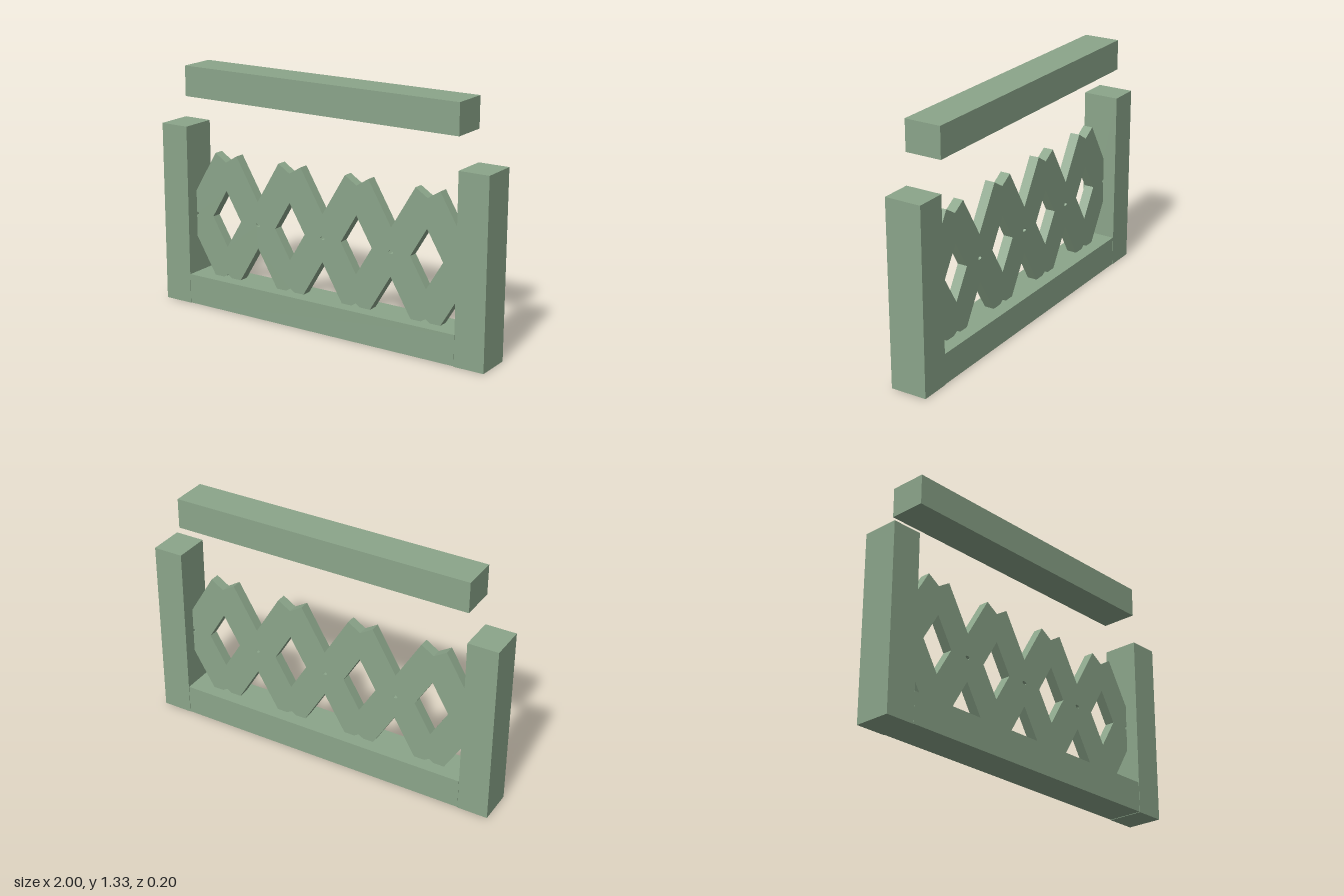
import * as THREE from 'three';

export function createModel() {
  const group = new THREE.Group();
  group.name = 'latticeRailing';
  const sage = new THREE.MeshStandardMaterial({ color: 0x8ba58a, flatShading: true });
  sage.name = 'sage green paint';

  const END = 0.8333; // half the clear span between the posts
  const MID = 0.5; // height of the lattice centre line
  const BAYS = 4;
  const PITCH = (2 * END) / BAYS;

  function addBox(name, w, h, d, x, y) {
    const mesh = new THREE.Mesh(new THREE.BoxGeometry(w, h, d), sage);
    mesh.name = name;
    mesh.position.set(x, y, 0);
    group.add(mesh);
  }

  // Posts and rails
  for (const [name, side] of [['leftPost', 1], ['rightPost', -1]]) {
    addBox(name, 1 - END, 1, 0.2, side * (1 + END) / 2, 0.5);
  }
  addBox('bottomRail', 1.664, 0.165, 0.198, 0, 0.0845);
  addBox('topRail', 1.664, 0.165, 0.2, 0, 1.25);

  // Lattice outline: twin-pointed crests along the top, mirrored below
  const crest = [[0, 0.13], [0.138, 0.36], [PITCH / 2, 0.316], [PITCH - 0.138, 0.36]];
  const top = [];
  for (let i = 0; i < BAYS; i++) {
    for (const [x, y] of crest) top.push([-END + i * PITCH + x, y]);
  }
  top.push([END, 0.13]);

  // Small half notches where the lattice meets each post
  const notch = (s) => [[s * END, 0.008], [s * (END - 0.008), 0.008],
    [s * (END - 0.015), 0], [s * (END - 0.008), -0.008], [s * END, -0.008]];
  const bottom = top.map(([x, y]) => [x, -y]).reverse();
  const outline = [...top, ...notch(1), ...bottom, ...notch(-1).reverse()];
  const toPoints = (list) => list.map(([x, y]) => new THREE.Vector2(x, y + MID));
  const shape = new THREE.Shape(toPoints(outline));

  // Diamond openings in the bays, tiny openings at the bar joints
  for (let i = 0; i < BAYS; i++) {
    const cx = -END + (i + 0.5) * PITCH;
    shape.holes.push(new THREE.Path(toPoints(
      [[cx - 0.095, 0], [cx, -0.158], [cx + 0.095, 0], [cx, 0.158]])));
    if (i > 0) {
      const jx = cx - PITCH / 2;
      shape.holes.push(new THREE.Path(toPoints(
        [[jx - 0.015, 0], [jx - 0.008, -0.008], [jx + 0.008, -0.008],
          [jx + 0.015, 0], [jx + 0.008, 0.008], [jx - 0.008, 0.008]])));
    }
  }
  const depth = 0.055;
  const geometry = new THREE.ExtrudeGeometry(shape, { depth, bevelEnabled: false });
  geometry.translate(0, 0, -depth / 2);
  const lattice = new THREE.Mesh(geometry, sage);
  lattice.name = 'latticePanel';
  group.add(lattice);

  return group;
}
